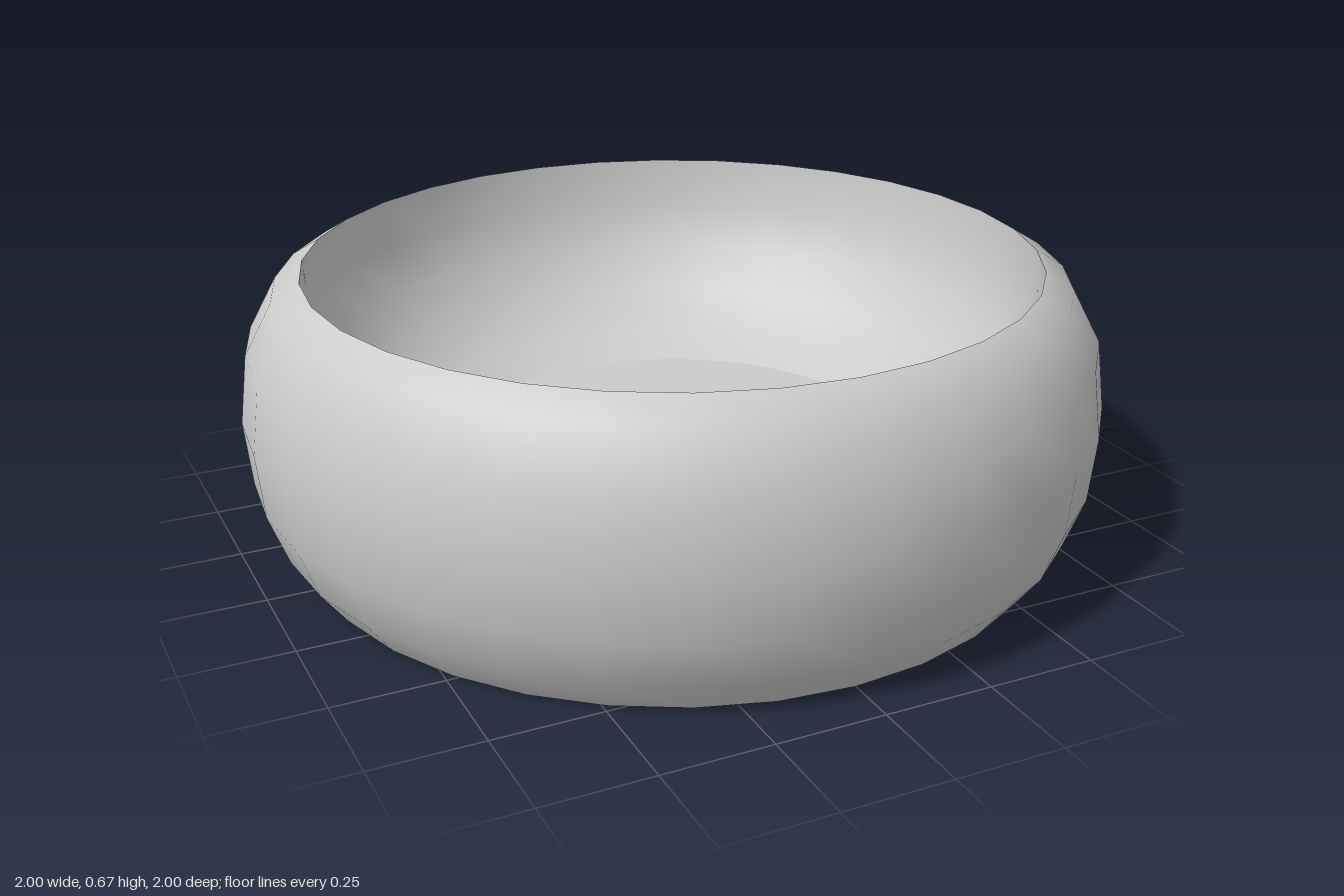
import * as THREE from 'three';

const SEGMENTS = 32;

export function createModel() {
  const bowl = new THREE.Group();
  bowl.name = 'bowl';
  const material = new THREE.MeshStandardMaterial({ color: 0xcccccc });

  // Each zone is its own lathe, so edges between zones stay crisp.
  const addZone = (name, profile) => {
    const points = profile.map(([r, y]) => new THREE.Vector2(r, y));
    const mesh = new THREE.Mesh(new THREE.LatheGeometry(points, SEGMENTS), material);
    mesh.name = name;
    bowl.add(mesh);
  };

  // Flat underside
  addZone('base', [[0, 0], [0.88, 0]]);

  // Rounded outer wall, up to the sharp rim
  addZone('outerWall', [
    [0.88, 0], [0.94, 0.08], [0.985, 0.2], [1, 0.35],
    [0.98, 0.51], [0.915, 0.63], [0.85, 0.67],
  ]);

  // Hollow, curving down from the rim to the floor
  addZone('innerWall', [
    [0.85, 0.67], [0.84, 0.55], [0.8, 0.44], [0.73, 0.34], [0.64, 0.26], [0.53, 0.21],
  ]);

  // Flat floor inside
  addZone('floor', [[0.53, 0.21], [0, 0.21]]);

  return bowl;
}
